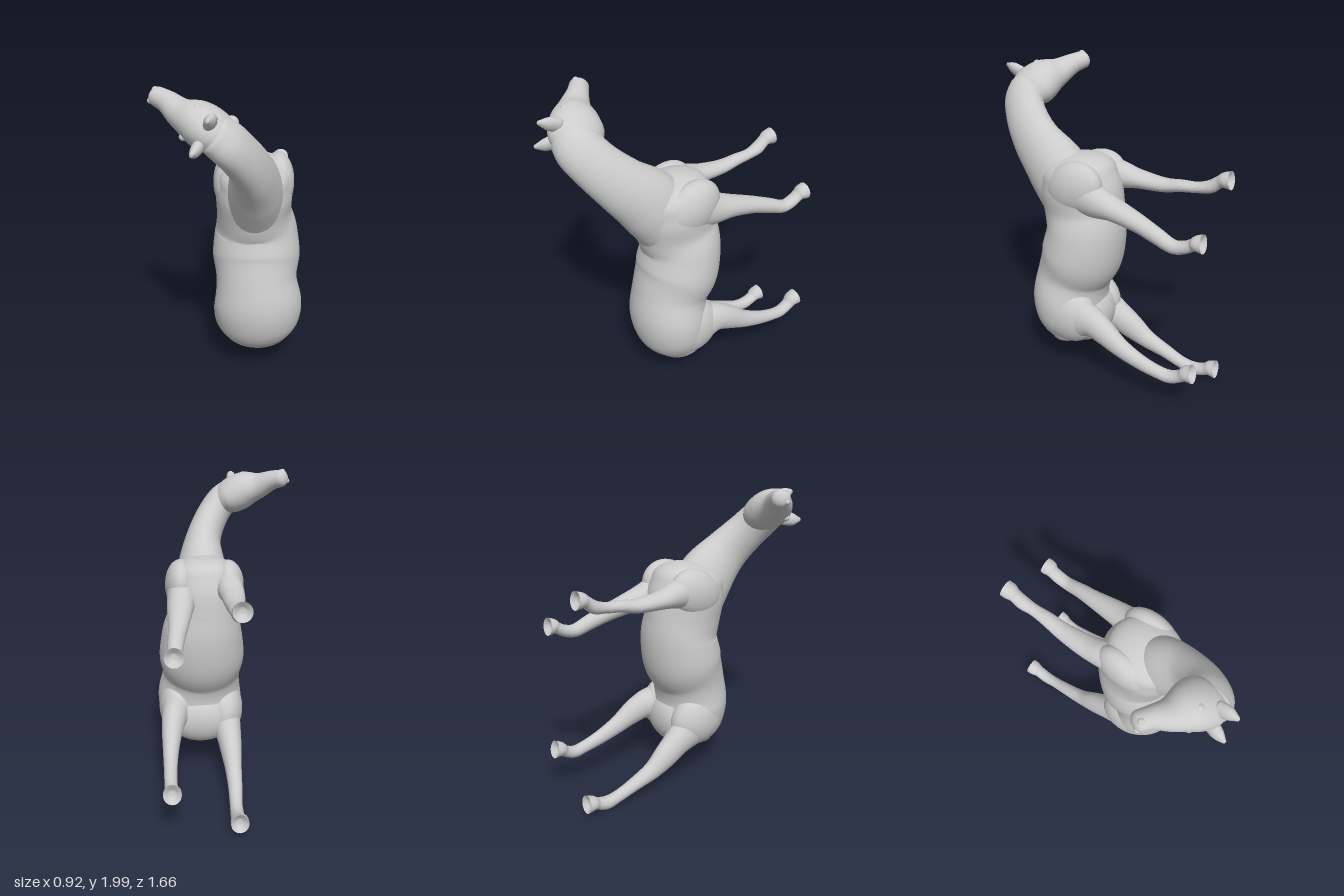
import * as THREE from 'three';
import { toCreasedNormals } from 'three/addons/utils/BufferGeometryUtils.js';

const material = new THREE.MeshStandardMaterial({ color: 0xcccccc, side: THREE.DoubleSide });

// Smooth loft through sections [x, y, z, ru, rv]; ru lies along the hint axis, rv across it.
// A cap length rounds an end off; a negative one makes it a hollow cup.
function loft(name, sections, hint, startCap, endCap, sides = 40) {
  const path = new THREE.CatmullRomCurve3(sections.map(s => new THREE.Vector3(s[0], s[1], s[2])));
  const radii = new THREE.CatmullRomCurve3(
    sections.map(s => new THREE.Vector3(s[3], s[4], 0)), false, 'catmullrom', 0.5);
  const steps = (sections.length - 1) * 8, capSteps = 8;
  const rings = [];
  const addRing = (t, scale, shift) => {
    const tangent = path.getTangent(t);
    const u = hint.clone().addScaledVector(tangent, -hint.dot(tangent)).normalize();
    const v = tangent.clone().cross(u);
    const centre = path.getPoint(t).addScaledVector(tangent, shift);
    const r = radii.getPoint(t);
    rings.push({ centre, u: u.multiplyScalar(r.x * scale), v: v.multiplyScalar(r.y * scale) });
  };
  const addCap = (t, f, length, sign) => {
    const a = f * Math.PI / 2;
    if (length < 0) addRing(t, Math.max(1 - f, 0.001), sign * length * Math.min(1, f * 1.5));
    else addRing(t, Math.max(Math.cos(a), 0.001), sign * length * Math.sin(a));
  };
  for (let i = capSteps; i > 0; i--) addCap(0, i / capSteps, startCap, -1);
  for (let i = 0; i <= steps; i++) addRing(i / steps, 1, 0);
  for (let i = 1; i <= capSteps; i++) addCap(1, i / capSteps, endCap, 1);

  const positions = [], index = [];
  rings.forEach(({ centre, u, v }, i) => {
    for (let j = 0; j < sides; j++) {
      const a = j / sides * Math.PI * 2;
      const p = centre.clone().addScaledVector(u, Math.cos(a)).addScaledVector(v, Math.sin(a));
      positions.push(p.x, p.y, p.z);
      if (i === rings.length - 1) continue;
      const k = (j + 1) % sides, n = i * sides;
      index.push(n + j, n + k, n + sides + j, n + k, n + sides + k, n + sides + j);
    }
  });
  const geometry = new THREE.BufferGeometry();
  geometry.setAttribute('position', new THREE.Float32BufferAttribute(positions, 3));
  geometry.setIndex(index);
  const mesh = new THREE.Mesh(toCreasedNormals(geometry, 1), material);
  mesh.name = name;
  return mesh;
}

function ellipsoid(name, [x, y, z], [rx, ry, rz], tilt = 0) {
  const mesh = new THREE.Mesh(new THREE.SphereGeometry(1, 32, 20), material);
  mesh.name = name;
  mesh.position.set(x, y, z);
  mesh.scale.set(rx, ry, rz);
  mesh.rotation.x = tilt;
  return mesh;
}

export function createModel() {
  const horse = new THREE.Group();
  horse.name = 'horse';
  const yAxis = new THREE.Vector3(0, 1, 0), zAxis = new THREE.Vector3(0, 0, 1);

  // Trunk from rump (low) to chest (high), back facing +z
  horse.add(loft('body', [
    [0.16, 0.29, 0.1, 0.19, 0.235],
    [0.16, 0.38, 0.135, 0.235, 0.275],
    [0.165, 0.51, 0.165, 0.243, 0.287],
    [0.153, 0.68, 0.14, 0.24, 0.262],
    [0.15, 0.83, 0.085, 0.262, 0.283],
    [0.145, 1.0, 0.055, 0.255, 0.265],
    [0.132, 1.13, 0.075, 0.265, 0.238],
    [0.13, 1.27, 0.1, 0.27, 0.24],
    [0.13, 1.37, 0.12, 0.25, 0.225],
  ], zAxis, 0.085, 0.13, 56));

  // Shoulder and haunch muscles, and the groin between the hind legs
  horse.add(
    ellipsoid('rightShoulder', [-0.025, 1.325, 0.06], [0.102, 0.155, 0.2], 0.5),
    ellipsoid('leftShoulder', [0.28, 1.325, 0.06], [0.102, 0.165, 0.2], 0.5),
    ellipsoid('rightHaunch', [0.0, 0.42, 0.1], [0.13, 0.19, 0.21], -0.3),
    ellipsoid('leftHaunch', [0.32, 0.45, 0.1], [0.128, 0.2, 0.22], -0.3),
    ellipsoid('groin', [0.16, 0.39, 0], [0.23, 0.17, 0.12]),
  );

  // Neck, sweeping up and towards -x
  horse.add(loft('neck', [
    [0.13, 1.13, 0.11, 0.21, 0.19],
    [0.135, 1.36, 0.275, 0.21, 0.165],
    [0.117, 1.52, 0.44, 0.172, 0.122],
    [0.055, 1.65, 0.56, 0.15, 0.11],
    [-0.02, 1.75, 0.63, 0.143, 0.105],
    [-0.08, 1.8, 0.65, 0.125, 0.1],
  ], new THREE.Vector3(0, -0.6, 0.8), 0.05, 0.06));

  // Head: d runs poll to muzzle, w across the skull, brow out of the forehead
  const w = new THREE.Vector3(0.43, 0.9, 0).normalize();
  const d = new THREE.Vector3(-0.74, 0.35, -0.58).normalize();
  const brow = w.clone().cross(d).normalize();
  horse.add(loft('head', [
    [-0.04, 1.77, 0.62, 0.14, 0.1],
    [-0.1, 1.805, 0.6, 0.162, 0.12],
    [-0.18, 1.848, 0.565, 0.145, 0.118],
    [-0.27, 1.88, 0.515, 0.1, 0.085],
    [-0.35, 1.925, 0.452, 0.068, 0.064],
    [-0.41, 1.945, 0.41, 0.06, 0.056],
  ], brow, 0.05, 0.04));

  const skull = new THREE.Vector3(-0.17, 1.84, 0.59);
  const muzzle = new THREE.Vector3(-0.42, 1.95, 0.405);
  const offset = (from, a, b, c) =>
    from.clone().addScaledVector(d, a).addScaledVector(w, b).addScaledVector(brow, c).toArray();
  for (const [side, s] of [['left', 1], ['right', -1]]) {
    // Ears flare outward behind the poll
    horse.add(loft(side + 'Ear', [
      [...offset(skull, -0.1, s * 0.068, 0.07), 0.05, 0.035],
      [...offset(skull, -0.125, s * 0.088, 0.125), 0.042, 0.03],
      [...offset(skull, -0.145, s * 0.1, 0.175), 0.014, 0.01],
    ], w, 0.02, 0.006, 16));
    horse.add(ellipsoid(side + 'Eye', offset(skull, 0.02, s * 0.088, 0.055), [0.026, 0.022, 0.026]));
    horse.add(ellipsoid(side + 'Nostril', offset(muzzle, 0, s * 0.034, 0.024), [0.02, 0.018, 0.02]));
  }

  // Legs reach towards -z and end in hollow hooves
  horse.add(loft('rightForeleg', [
    [-0.01, 1.35, 0.05, 0.12, 0.09],
    [-0.025, 1.345, -0.1, 0.09, 0.085],
    [-0.035, 1.335, -0.22, 0.06, 0.075],
    [-0.035, 1.33, -0.4, 0.044, 0.058],
    [-0.03, 1.35, -0.52, 0.037, 0.048],
    [-0.03, 1.36, -0.62, 0.034, 0.04],
    [-0.035, 1.38, -0.7, 0.04, 0.046],
    [-0.037, 1.42, -0.755, 0.038, 0.045],
    [-0.037, 1.436, -0.785, 0.047, 0.055],
    [-0.037, 1.442, -0.825, 0.057, 0.056],
  ], yAxis, 0.08, -0.03, 28));
  horse.add(loft('leftForeleg', [
    [0.27, 1.31, 0.05, 0.14, 0.1],
    [0.28, 1.27, -0.1, 0.105, 0.09],
    [0.29, 1.25, -0.22, 0.073, 0.08],
    [0.305, 1.205, -0.4, 0.055, 0.06],
    [0.32, 1.165, -0.52, 0.05, 0.05],
    [0.33, 1.125, -0.64, 0.042, 0.044],
    [0.33, 1.14, -0.71, 0.038, 0.045],
    [0.33, 1.168, -0.76, 0.037, 0.045],
    [0.333, 1.183, -0.785, 0.047, 0.055],
    [0.333, 1.188, -0.82, 0.057, 0.055],
  ], yAxis, 0.08, -0.03, 28));
  horse.add(loft('rightHindLeg', [
    [0.0, 0.37, 0.05, 0.15, 0.11],
    [-0.02, 0.3, -0.09, 0.105, 0.085],
    [-0.03, 0.23, -0.2, 0.09, 0.07],
    [-0.035, 0.165, -0.31, 0.065, 0.055],
    [-0.035, 0.115, -0.45, 0.046, 0.046],
    [-0.03, 0.07, -0.58, 0.04, 0.04],
    [-0.03, 0.055, -0.67, 0.044, 0.043],
    [-0.03, 0.08, -0.75, 0.038, 0.045],
    [-0.033, 0.095, -0.78, 0.047, 0.055],
    [-0.033, 0.1, -0.82, 0.06, 0.055],
  ], yAxis, 0.08, -0.03, 28));
  horse.add(loft('leftHindLeg', [
    [0.32, 0.44, 0.05, 0.17, 0.11],
    [0.345, 0.45, -0.1, 0.105, 0.085],
    [0.36, 0.41, -0.2, 0.085, 0.07],
    [0.37, 0.35, -0.31, 0.065, 0.055],
    [0.375, 0.295, -0.45, 0.051, 0.044],
    [0.375, 0.262, -0.58, 0.042, 0.04],
    [0.37, 0.252, -0.67, 0.041, 0.042],
    [0.367, 0.285, -0.745, 0.038, 0.044],
    [0.365, 0.31, -0.775, 0.047, 0.054],
    [0.365, 0.32, -0.815, 0.06, 0.055],
  ], yAxis, 0.08, -0.03, 28));

  return horse;
}
